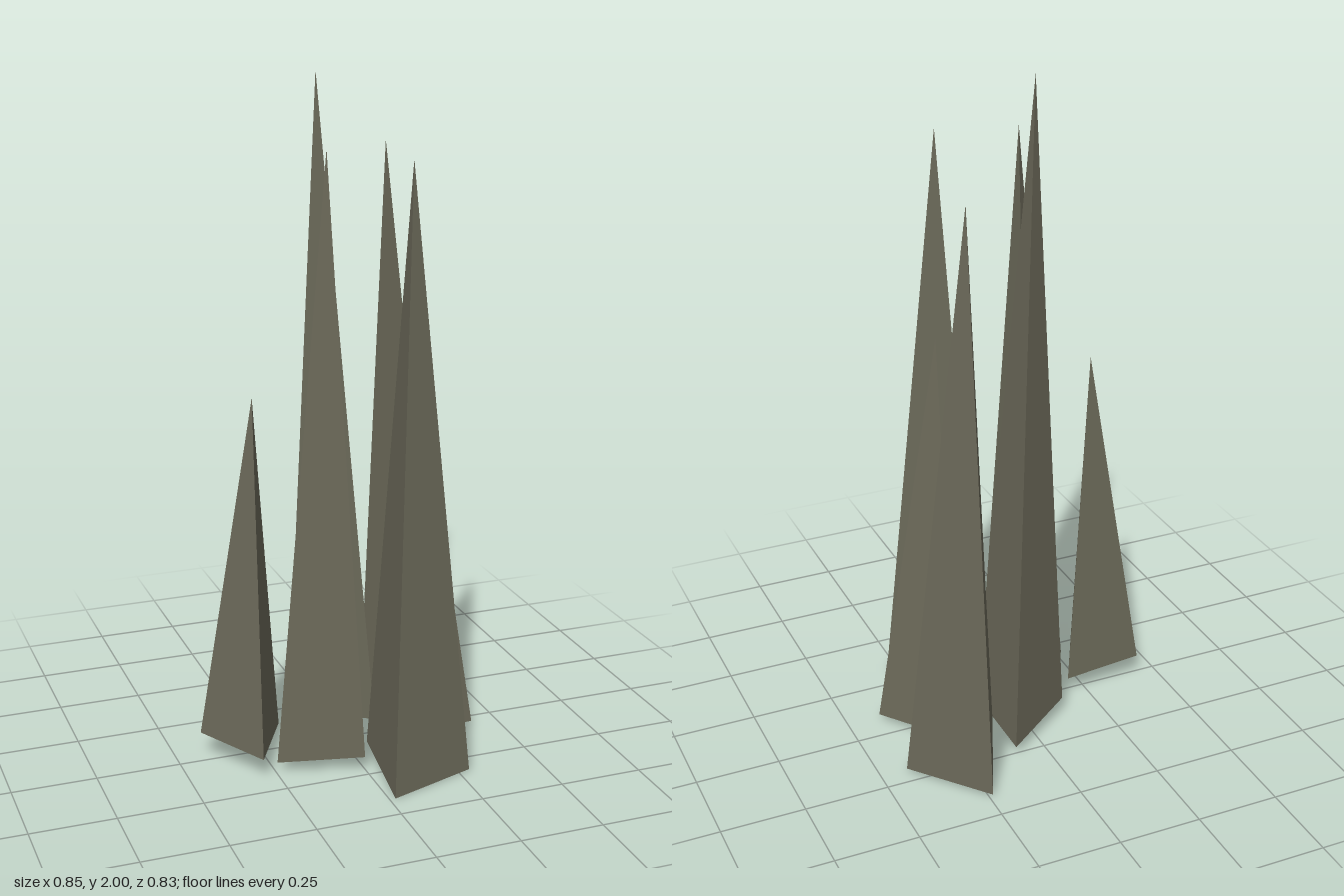
import * as THREE from 'three';

// A cluster of slender three-sided stone spikes, each leaning a little.
// Per spike: the tip, then three base corners clockwise seen from above.
const SPIKES = {
  backLeftSpike: [[0.264, 1.76, -0.317], [0.24, 0.008, -0.417], [0.424, 0.015, -0.208], [0.113, 0.045, -0.123]],
  tallestSpike: [[-0.047, 2, -0.062], [0.095, 0.027, -0.258], [0.109, 0.05, 0.014], [-0.124, 0.055, -0.116]],
  leftSpike: [[0.219, 1.26, 0.019], [0.234, 0.02, -0.143], [0.404, 0.022, 0.076], [0.163, 0.043, 0.124]],
  shortRightSpike: [[-0.273, 1.11, 0.031], [-0.427, 0.077, -0.029], [-0.181, 0.062, -0.038], [-0.302, 0.07, 0.19]],
  middleSpike: [[-0.081, 1.81, 0.12], [-0.051, 0.046, -0.032], [-0.006, 0.048, 0.234], [-0.247, 0.032, 0.149]],
  frontSpike: [[0.12, 1.79, 0.25], [0.045, 0.035, 0.115], [0.284, 0.003, 0.328], [0.018, 0, 0.413]],
};

// Closed pyramid: underside plus one face per base edge, with hard edges.
function spikeGeometry([tip, ...base]) {
  const triangles = [base];
  for (let i = 0; i < 3; i++) triangles.push([base[(i + 1) % 3], base[i], tip]);
  const geometry = new THREE.BufferGeometry();
  geometry.setAttribute('position', new THREE.Float32BufferAttribute(triangles.flat(2), 3));
  geometry.computeVertexNormals();
  return geometry;
}

export function createModel() {
  const stone = new THREE.MeshStandardMaterial({ color: 0x6b6959 });
  stone.name = 'olive grey stone';

  const group = new THREE.Group();
  group.name = 'spikeCluster';
  for (const [name, points] of Object.entries(SPIKES)) {
    const spike = new THREE.Mesh(spikeGeometry(points), stone);
    spike.name = name;
    group.add(spike);
  }
  return group;
}
